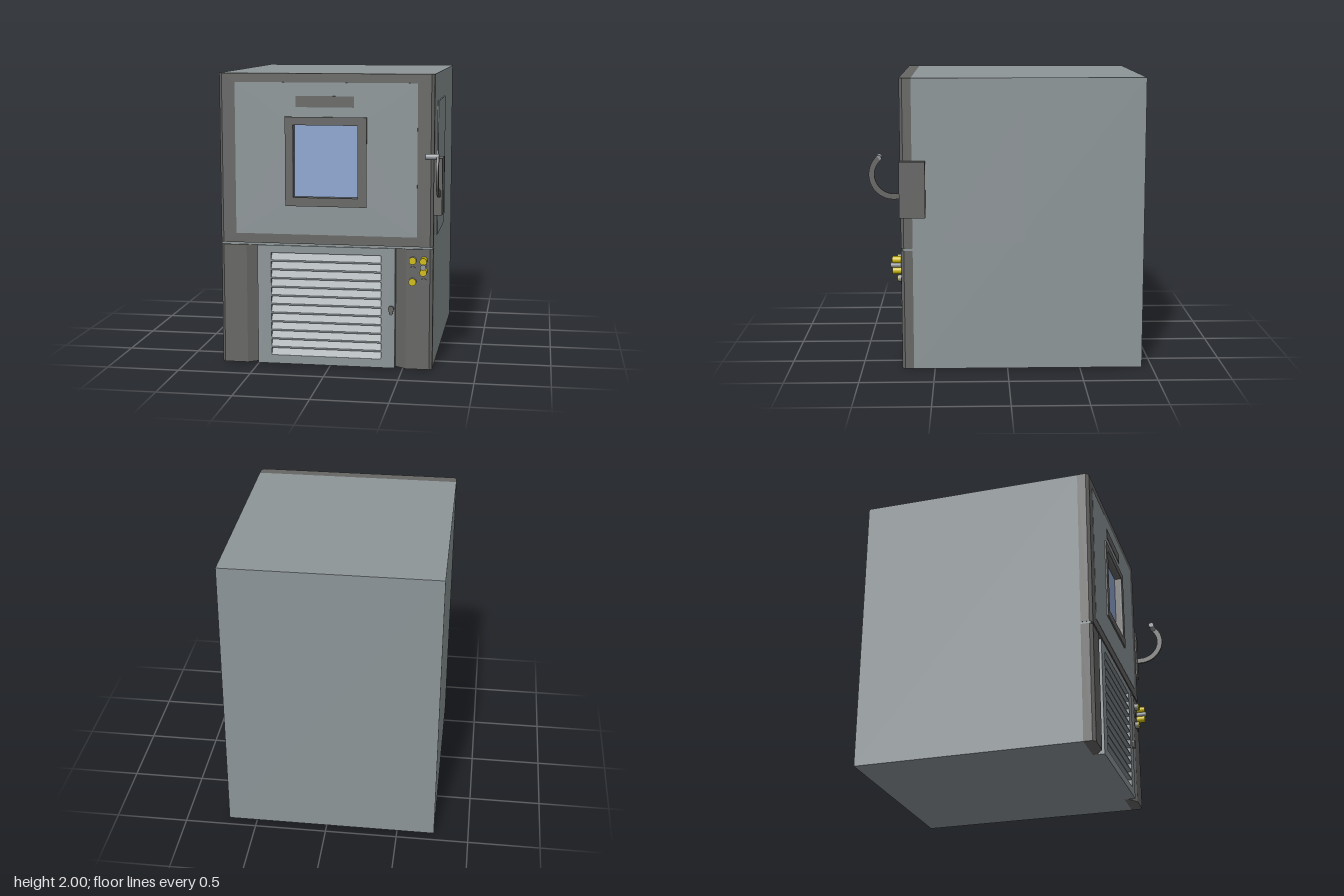
import * as THREE from 'three';

const mat = (name, color) => {
  const m = new THREE.MeshStandardMaterial({ color });
  m.name = name;
  return m;
};

export function createModel() {
  const group = new THREE.Group();
  const light = mat('light grey steel', 0x8d9598);
  const dark = mat('dark grey trim', 0x666665);
  const blue = mat('blue glass', 0x8ea6d0);
  const yellow = mat('yellow cap', 0xd0bd10);
  const metal = mat('metal grey', 0x92979a);

  const add = (name, geometry, material) => {
    const mesh = new THREE.Mesh(geometry, material);
    mesh.name = name;
    group.add(mesh);
    return mesh;
  };
  // Box given by its limits on each axis
  const box = (name, x0, x1, y0, y1, z0, z1, m) =>
    add(name, new THREE.BoxGeometry(x1 - x0, y1 - y0, z1 - z0), m)
      .position.set((x0 + x1) / 2, (y0 + y1) / 2, (z0 + z1) / 2);
  const rect = (T, x0, x1, y0, y1) => new T([[x0, y0], [x1, y0], [x1, y1], [x0, y1]]
    .map(([x, y]) => new THREE.Vector2(x, y)));
  // Front-facing panel with rectangular openings
  const panel = (name, [x0, x1, y0, y1], holes, z0, z1, m) => {
    const s = rect(THREE.Shape, x0, x1, y0, y1);
    s.holes = holes.map(h => rect(THREE.Path, ...h));
    add(name, new THREE.ExtrudeGeometry(s, { depth: z1 - z0, bevelEnabled: false }), m).position.z = z0;
  };
  // Upright prism from an x-z plan
  const upright = (name, plan, y0, y1, m) => {
    const s = new THREE.Shape(plan.map(([x, z]) => new THREE.Vector2(x, -z)));
    const g = new THREE.ExtrudeGeometry(s, { depth: y1 - y0, bevelEnabled: false }).rotateX(-Math.PI / 2);
    add(name, g, m).position.y = y0;
  };
  // Prism along x from a z-y profile
  const across = (name, shape, x0, x1, m) => {
    const g = new THREE.ExtrudeGeometry(shape, { depth: x1 - x0, bevelEnabled: false, curveSegments: 32 });
    add(name, g.rotateY(-Math.PI / 2), m).position.x = x1;
  };
  // Round stud facing forward
  const stud = (name, x, y, r, z0, z1, m) =>
    add(name, new THREE.CylinderGeometry(r, r, z1 - z0, 24).rotateX(Math.PI / 2), m)
      .position.set(x, y, (z0 + z1) / 2);

  // Cabinet
  box('cabinet', -0.76, 0.70, 0, 2, -0.93, 0.645, light);
  box('sideAccessPlate', 0.70, 0.708, 0.89, 1.81, -0.12, 0.475, light);
  box('dividerStrip', -0.758, 0.698, 0.83, 0.845, 0.645, 0.715, light);

  // Upper door with chamfered sides and a window opening
  const opening = [-0.25, 0.19, 1.165, 1.655];
  panel('doorFrame', [-0.74, 0.68, 0.845, 2], [opening], 0.645, 0.725, dark);
  upright('doorLeftEdge', [[0.68, 0.645], [0.70, 0.645], [0.70, 0.705], [0.68, 0.725]], 0.845, 2, dark);
  upright('doorRightEdge', [[-0.74, 0.645], [-0.76, 0.645], [-0.76, 0.705], [-0.74, 0.725]], 0.845, 2, dark);
  panel('doorSkin', [-0.65, 0.59, 0.91, 1.94], [opening], 0.725, 0.727, light);
  panel('windowFrame', [-0.305, 0.25, 1.105, 1.71], [opening], 0.725, 0.737, dark);
  box('windowGlass', -0.25, 0.19, 1.165, 1.655, 0.68, 0.685, blue);
  box('namePlate', -0.23, 0.165, 1.775, 1.85, 0.725, 0.73, dark);

  // Lower corner posts, sloping back toward the grille
  upright('lowerRightPost', [[-0.76, 0.645], [-0.76, 0.705], [-0.74, 0.725], [-0.58, 0.725],
    [-0.505, 0.675], [-0.505, 0.645]], 0, 0.83, dark);
  upright('lowerLeftPost', [[0.445, 0.645], [0.445, 0.675], [0.52, 0.725], [0.68, 0.725],
    [0.70, 0.705], [0.70, 0.645]], 0, 0.83, dark);

  // Grille panel with sloping louvers in its slots
  const slots = [];
  for (let i = 0; i < 12; i++) {
    const y = 0.06 + i * 0.0608;
    slots.push([-0.41, 0.35, y, y + 0.05]);
    const s = new THREE.Shape();
    s.moveTo(0.645, y).lineTo(0.724, y).lineTo(0.685, y + 0.05).lineTo(0.645, y + 0.05);
    across('louver', s, -0.41, 0.35, light);
  }
  panel('grillePanel', [-0.505, 0.445, 0, 0.83], slots, 0.645, 0.725, light);

  // Teardrop panel lock
  const drop = new THREE.Shape();
  drop.absarc(0.42, 0.417, 0.019, 0, Math.PI, false);
  drop.lineTo(0.41, 0.38).lineTo(0.42, 0.373).lineTo(0.43, 0.38);
  add('panelLock', new THREE.ExtrudeGeometry(drop, { depth: 0.02, bevelEnabled: false }), dark)
    .position.z = 0.725;

  // Connectors: capped studs, plain studs and a double valve
  for (const y of [0.755, 0.61]) {
    stud('connectorBody', 0.565, y, 0.025, 0.725, 0.75, metal);
    stud('connectorCap', 0.565, y, 0.025, 0.75, 0.756, yellow);
  }
  stud('smallStud', 0.565, 0.69, 0.022, 0.725, 0.729, dark);
  stud('smallStud', 0.64, 0.61, 0.022, 0.725, 0.729, dark);
  for (const y of [0.757, 0.682]) stud('valveKnob', 0.64, y, 0.024, 0.725, 0.787, yellow);
  stud('valveStem', 0.64, 0.72, 0.019, 0.725, 0.798, metal);

  // Latch housing, curved lever and grip
  box('latchHousing', 0.70, 0.757, 1.065, 1.445, 0.555, 0.73, dark);
  const a0 = -1.85, a1 = 0.83;
  const lever = new THREE.Shape();
  lever.absarc(0.762, 1.36, 0.167, a0, a1, false);
  lever.absarc(0.762, 1.36, 0.129, a1, a0, true);
  across('latchLever', lever, 0.73, 0.746, dark);
  add('latchGrip', new THREE.CylinderGeometry(0.02, 0.02, 0.09, 24).rotateZ(Math.PI / 2), metal)
    .position.set(0.701, 1.47, 0.863);

  return group;
}
